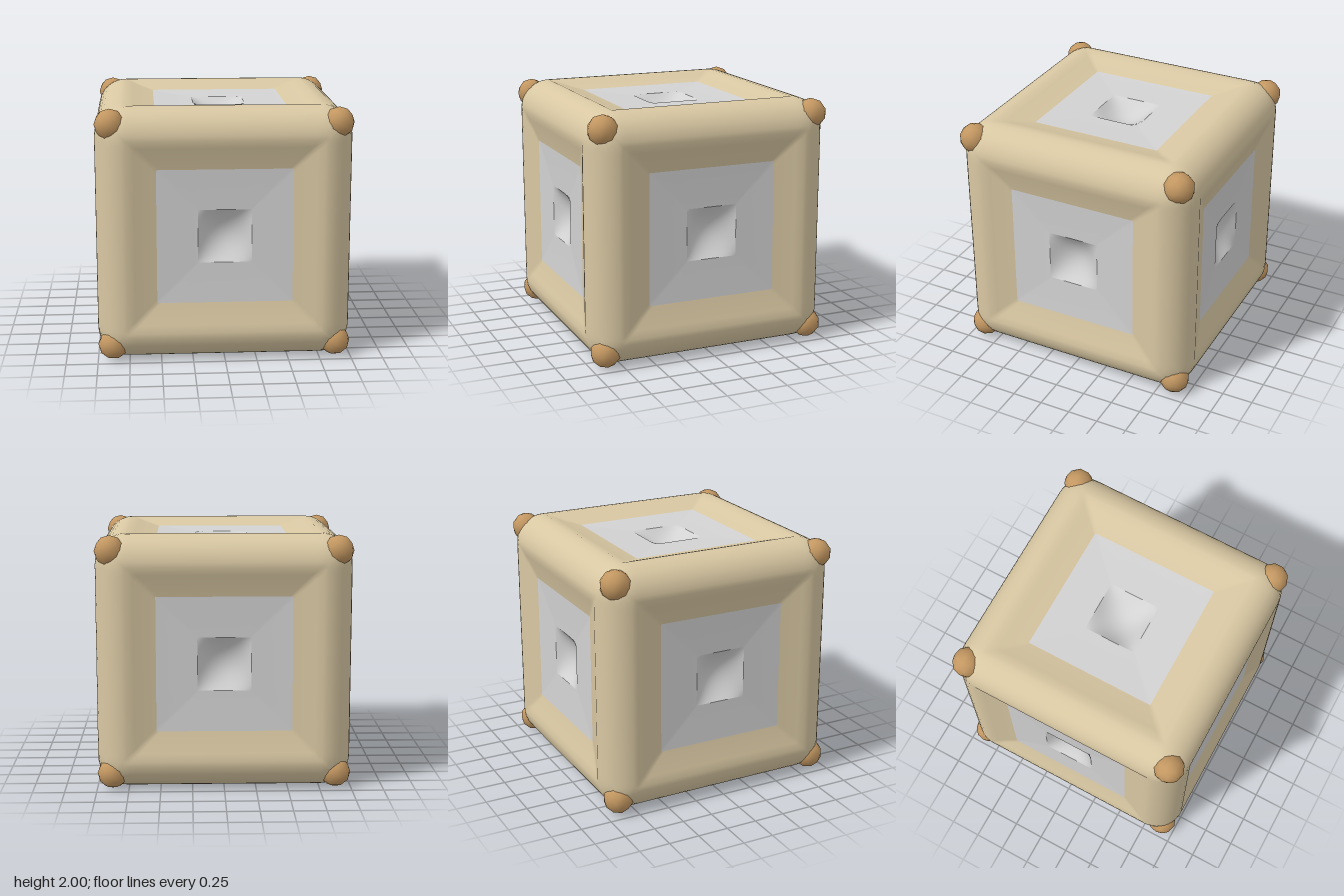
import * as THREE from 'three';
import { mergeGeometries, toCreasedNormals } from 'three/addons/utils/BufferGeometryUtils.js';

const INNER = 0.76, ROUND = 0.24;   // rounded edge of the cube
const PANEL = 0.53, PIT = 0.21;     // half sizes of the face panel and its dent

// Rotations that carry the +z face to all six sides
const SIDES = [
  ['front', 0, 0], ['left', 0, Math.PI / 2], ['back', 0, Math.PI],
  ['right', 0, -Math.PI / 2], ['top', -Math.PI / 2, 0], ['bottom', Math.PI / 2, 0],
];

// Spots along one side of a square ring, denser near the corners
const STEPS = [-1, -0.95, -0.9, -0.85, -0.8, -0.76, -0.4, 0, 0.4, 0.76, 0.8, 0.85, 0.9, 0.95];

// Square rings given as [half size, height], skinned from the outside inwards
function ringSurface(rings) {
  const pos = [], index = [];
  const n = STEPS.length * 4;
  for (const [r, z] of rings) {
    for (let side = 0; side < 4; side++) {
      const c = Math.round(Math.cos(side * Math.PI / 2));
      const s = Math.round(Math.sin(side * Math.PI / 2));
      for (const t of STEPS) {
        const p = new THREE.Vector3(c * r - s * t * r, s * r + c * t * r, z);
        if (r > INNER) {
          // Bend the rim around the edges and corners
          const core = p.clone().clampScalar(-INNER, INNER);
          const off = p.clone().sub(core).normalize().multiplyScalar(ROUND);
          p.copy(core.add(off));
        }
        pos.push(p.x, p.y, p.z);
      }
    }
  }
  for (let i = 0; i < rings.length - 1; i++) {
    for (let k = 0; k < n; k++) {
      const a = i * n + k, b = i * n + (k + 1) % n;
      index.push(a, b, b + n, a, b + n, a + n);
    }
  }
  const g = new THREE.BufferGeometry();
  g.setAttribute('position', new THREE.Float32BufferAttribute(pos, 3));
  g.setIndex(index);
  return g;
}

// Square bowl sunk into the panel
function pitGeometry() {
  const g = new THREE.PlaneGeometry(PIT * 2, PIT * 2, 14, 14);
  const p = g.attributes.position;
  for (let i = 0; i < p.count; i++) {
    const u = p.getX(i) / PIT, v = p.getY(i) / PIT;
    p.setZ(i, 0.92 - 0.1 * (1 - u * u) * (1 - v * v));
  }
  g.computeVertexNormals();
  return g;
}

export function createModel() {
  const tan = new THREE.MeshStandardMaterial({ color: 0xd8c7a2 });
  tan.name = 'tan';
  const grey = new THREE.MeshStandardMaterial({ color: 0xd2d2d2 });
  grey.name = 'light grey';
  const brown = new THREE.MeshStandardMaterial({ color: 0xc49862 });
  brown.name = 'brown';

  const model = new THREE.Group();
  model.name = 'studdedCube';
  const add = (geometry, material, name) => {
    const mesh = new THREE.Mesh(geometry, material);
    mesh.name = name;
    mesh.position.y = 1;
    model.add(mesh);
    return mesh;
  };

  // Shell: rounded edges and frames sloping gently in to the panels
  const rim = [];
  for (let i = 0; i <= 5; i++) {
    rim.push([INNER + ROUND * Math.tan((1 - i / 5) * Math.PI / 4), 1]);
  }
  const frame = ringSurface([...rim, [0.7, 0.982], [0.62, 0.957], [PANEL, 0.935]]);
  const frames = SIDES.map(([, rx, ry]) => frame.clone().rotateX(rx).rotateY(ry));
  add(toCreasedNormals(mergeGeometries(frames), 0.9), tan, 'shell');

  // Panel and dent on every side
  const panel = ringSurface([[PANEL, 0.935], [0.37, 0.926], [PIT, 0.92]]);
  panel.computeVertexNormals();
  const pit = pitGeometry();
  for (const [name, rx, ry] of SIDES) {
    add(panel, grey, name + 'Panel').rotation.set(rx, ry, 0);
    add(pit, grey, name + 'Dent').rotation.set(rx, ry, 0);
  }

  // Studs sunk into the eight corners
  const ball = new THREE.IcosahedronGeometry(0.12, 1);
  for (const x of [-1, 1]) for (const y of [-1, 1]) for (const z of [-1, 1]) {
    add(ball, brown, 'cornerStud').position.set(x * 0.878, 1 + y * 0.878, z * 0.878);
  }
  return model;
}
